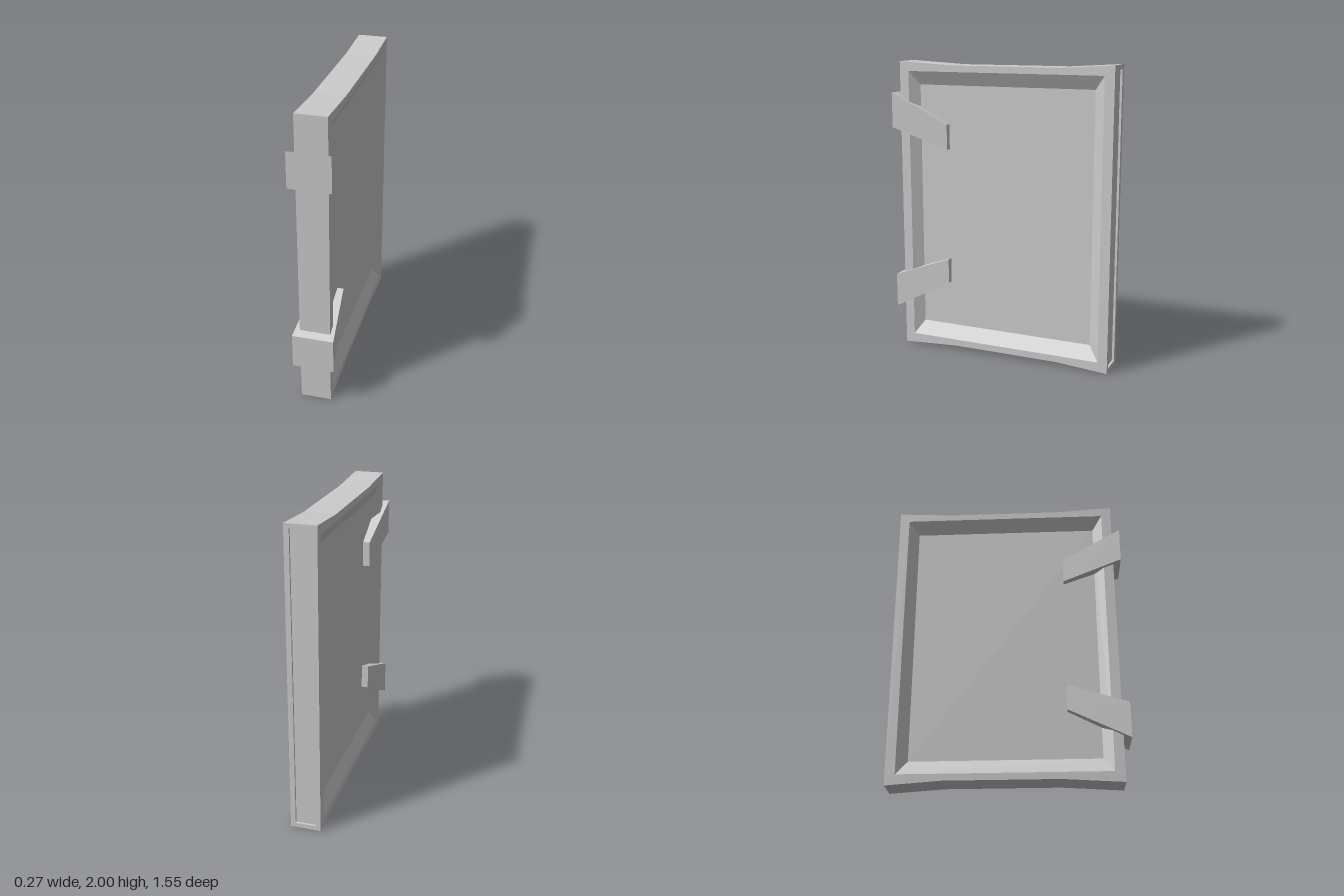
import * as THREE from 'three';

const material = new THREE.MeshStandardMaterial({ color: 0xcccccc, flatShading: true });

const HALF = 0.1;                  // half thickness of the panel
const FRONT = 0.725, BACK = -0.775;

// Faces from a list of quads, corners counter-clockwise
function quadGeometry(quads) {
  const pos = [];
  for (const [a, b, c, d] of quads) pos.push(...a, ...b, ...c, ...a, ...c, ...d);
  const g = new THREE.BufferGeometry();
  g.setAttribute('position', new THREE.Float32BufferAttribute(pos, 3));
  g.computeVertexNormals();
  return g;
}

function rect(u0, u1, v0, v1) {
  return [[u0, v0], [u1, v0], [u1, v1], [u0, v1]];
}

// Flat border with an opening whose walls run down to a sunken floor, facing +z
function recessedFace(name, outline, opening, floor, depth) {
  const group = new THREE.Group();
  group.name = name;
  const toVec = ([u, v]) => new THREE.Vector2(u, v);
  const shape = new THREE.Shape(outline.map(toVec));
  shape.holes.push(new THREE.Path(opening.map(toVec)));
  const border = new THREE.Mesh(new THREE.ShapeGeometry(shape), material);
  border.name = name + 'Border';

  const sunk = floor.map(([u, v]) => [u, v, -depth]);
  const walls = opening.map(([u, v], i) => {
    const j = (i + 1) % 4;
    return [[u, v, 0], [...opening[j], 0], sunk[j], sunk[i]];
  });
  const recess = new THREE.Mesh(quadGeometry([...walls, sunk]), material);
  recess.name = name + 'Recess';
  group.add(border, recess);
  return group;
}

// Tapered block; y values are [frontBottom, frontTop, endBottom, endTop]
function clamp(name, y) {
  const g = new THREE.BoxGeometry(1, 1, 1).toNonIndexed();
  const p = g.attributes.position;
  for (let i = 0; i < p.count; i++) {
    const front = p.getZ(i) > 0, top = p.getY(i) > 0;
    p.setXYZ(i,
      -0.002 + Math.sign(p.getX(i)) * (front ? 0.135 : 0.097),
      y[(front ? 0 : 2) + (top ? 1 : 0)],
      front ? 0.775 : 0.38);
  }
  g.computeVertexNormals();
  const mesh = new THREE.Mesh(g, material);
  mesh.name = name;
  return mesh;
}

export function createModel() {
  const model = new THREE.Group();
  model.name = 'panelWithClamps';

  // Side outline as (-z, y), counter-clockwise seen from +x, with waisted top and bottom
  const outline = [
    [-FRONT, 0], [-0.33, 0.025], [0.42, 0.025], [-BACK, 0],
    [-BACK, 2], [0.42, 1.978], [-0.33, 1.978], [-FRONT, 2],
  ];
  const opening = rect(-0.66, 0.71, 0.07, 1.935);
  const floor = rect(-0.595, 0.64, 0.165, 1.845);
  const flip = (pts) => pts.map(([u, v]) => [-u, v]).reverse();

  // Broad sides with bevelled recesses
  const left = recessedFace('leftSide', outline, opening, floor, 0.047);
  left.rotation.y = Math.PI / 2;
  left.position.x = HALF;
  const right = recessedFace('rightSide', flip(outline), flip(opening), flip(floor), 0.047);
  right.rotation.y = -Math.PI / 2;
  right.position.x = -HALF;

  // Narrow back edge with a shallow slot
  const slot = rect(-0.067, 0.067, 0.03, 1.97);
  const back = recessedFace('backEdge', rect(-HALF, HALF, 0, 2), slot, slot, 0.015);
  back.rotation.y = Math.PI;
  back.position.z = BACK;

  // Top, bottom and front edges
  const quads = [];
  outline.forEach(([u, v], i) => {
    if (i === 3) return; // the back edge is built above
    const [u2, v2] = outline[(i + 1) % outline.length];
    quads.push([[HALF, v, -u], [-HALF, v, -u], [-HALF, v2, -u2], [HALF, v2, -u2]]);
  });
  const rim = new THREE.Mesh(quadGeometry(quads), material);
  rim.name = 'rim';

  model.add(left, right, back, rim);

  // Pair of clamps gripping the front edge
  model.add(
    clamp('upperClamp', [1.555, 1.79, 1.415, 1.585]),
    clamp('lowerClamp', [0.275, 0.51, 0.48, 0.65]),
  );
  return model;
}
